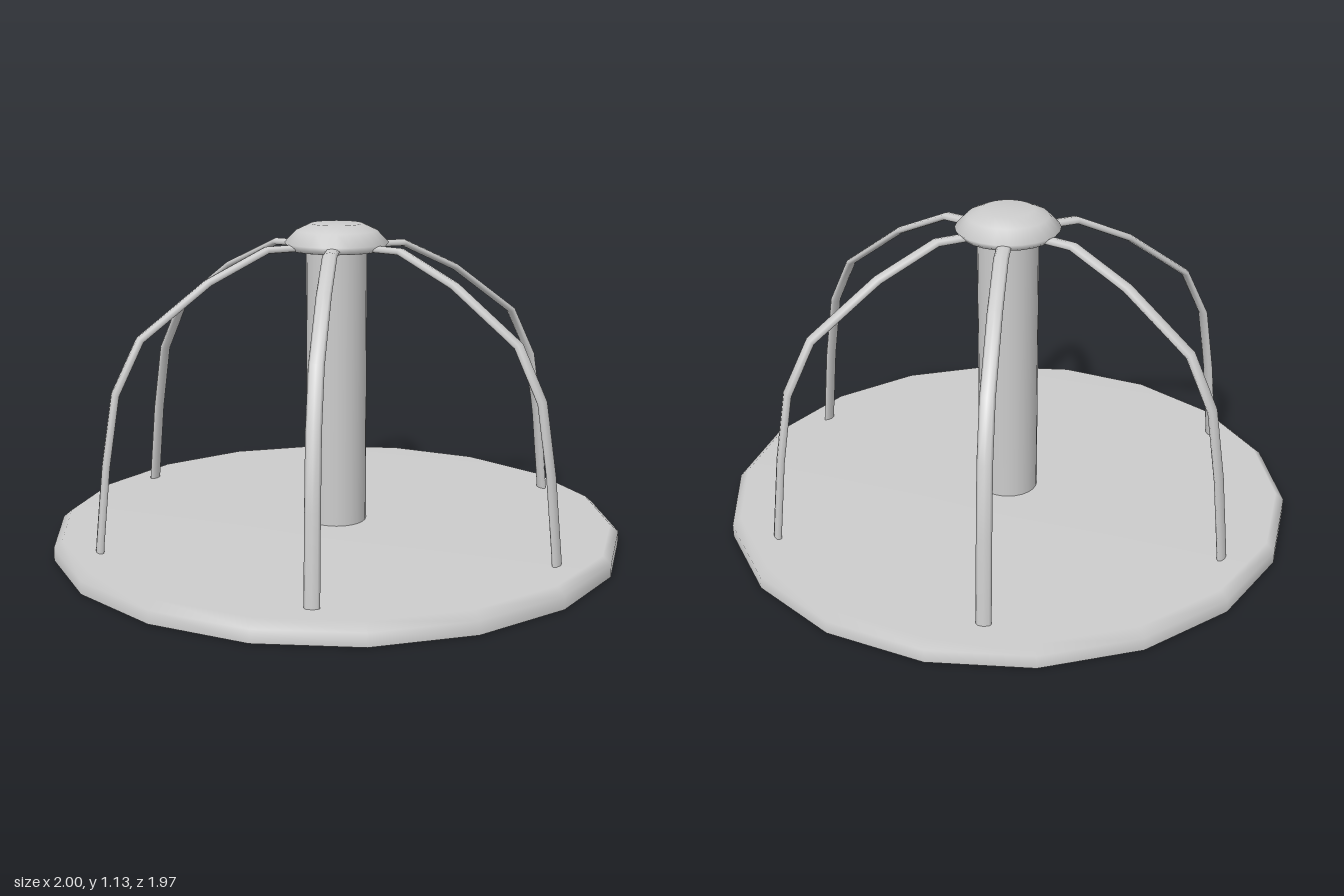
import * as THREE from 'three';

const material = new THREE.MeshStandardMaterial({ color: 0xcccccc, side: THREE.DoubleSide });

function lathe(name, profile, sides) {
  const points = profile.map(([r, y]) => new THREE.Vector2(r, y));
  const mesh = new THREE.Mesh(new THREE.LatheGeometry(points, sides, Math.PI / 2), material);
  mesh.name = name;
  return mesh;
}

// Flattened tube through the profile points, with one ring at each point
function railGeometry() {
  const points = [
    [0.876, 0], [0.868, 0.1], [0.84, 0.36], [0.8, 0.6], [0.71, 0.775],
    [0.47, 0.948], [0.26, 1.045], [0.09, 1.047],
  ].map(([r, y]) => new THREE.Vector3(r, y, 0));
  const curve = new THREE.CatmullRomCurve3(points);
  curve.getPointAt = curve.getPoint;
  curve.getTangentAt = curve.getTangent;
  const geometry = new THREE.TubeGeometry(curve, points.length - 1, 0.0125, 8);
  geometry.scale(1, 1, 2);
  return geometry;
}

export function createModel() {
  const model = new THREE.Group();
  model.name = 'merryGoRound';

  // Shallow platform, hollow underneath, with a bevelled rim
  model.add(lathe('platform', [[1, 0], [1, 0.045], [0.97, 0.07], [0, 0.07]], 18));

  // Centre post, open at its ends
  model.add(lathe('centrePost', [[0.105, 0.05], [0.105, 1.04]], 24));

  // Domed cap
  model.add(lathe('cap', [
    [0, 1.035], [0.16, 1.035], [0.18, 1.06], [0.14, 1.102], [0.09, 1.125], [0, 1.125],
  ], 24));

  // Six curved hand rails
  const geometry = railGeometry();
  for (let i = 0; i < 6; i++) {
    const rail = new THREE.Mesh(geometry, material);
    rail.name = `handRail${i + 1}`;
    rail.rotation.y = THREE.MathUtils.degToRad(10 + i * 60);
    model.add(rail);
  }
  return model;
}
